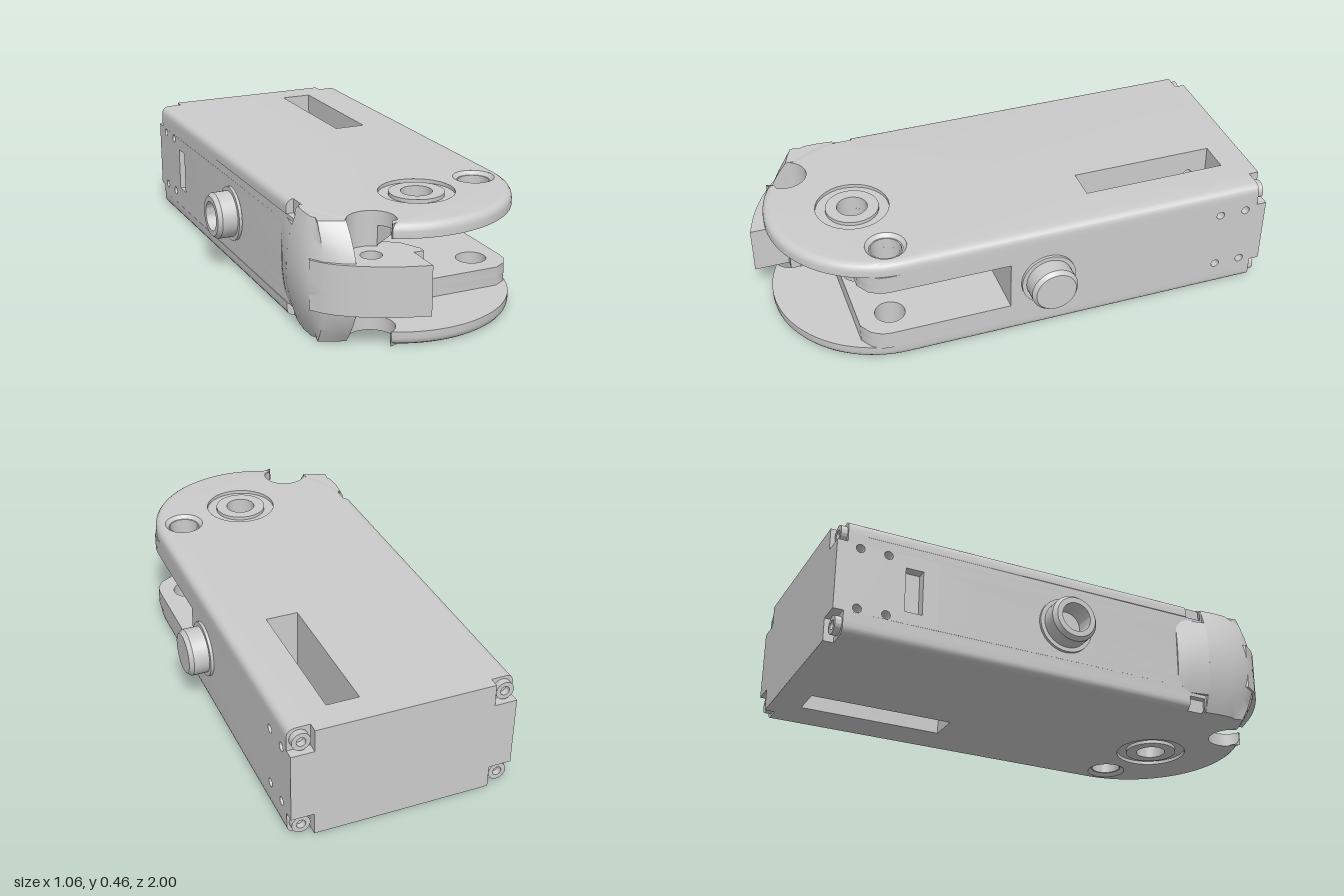
import * as THREE from 'three';
import { toCreasedNormals, mergeGeometries } from 'three/addons/utils/BufferGeometryUtils.js';

const H = 0.463, R = 0.44, ARC_Z = 0.51, MID = H / 2;
const V = (x, y) => new THREE.Vector2(x, y);

// Points on an arc in plan (x, z), angles in degrees
function arc(cx, cz, r, from, to, n) {
  return Array.from({ length: n + 1 }, (_, i) => {
    const a = THREE.MathUtils.degToRad(from + (to - from) * i / n);
    return V(cx + r * Math.cos(a), cz + r * Math.sin(a));
  });
}
const circle = (x, z, r) => new THREE.Path(arc(x, z, r, 0, 360, 32).slice(0, -1));
const rect = (x0, z0, x1, z1) => new THREE.Path([V(x0, z0), V(x1, z0), V(x1, z1), V(x0, z1)]);

function shapeOf(points, holes = []) {
  const s = new THREE.Shape(points);
  s.holes.push(...holes);
  return s;
}

// Plan shape raised from y0 to y1
function slab(points, y0, y1, holes) {
  const g = new THREE.ExtrudeGeometry(shapeOf(points, holes), { depth: y1 - y0, bevelEnabled: false });
  return toCreasedNormals(g.rotateX(Math.PI / 2).translate(0, y1, 0), 0.6);
}

// Turn every triangle round
function reverse(g) {
  g = g.index ? g.toNonIndexed() : g;
  for (const a of Object.values(g.attributes)) {
    for (let i = 0; i < a.count; i += 3) {
      for (let k = 0; k < a.itemSize; k++) {
        const t = a.getComponent(i + 1, k);
        a.setComponent(i + 1, k, a.getComponent(i + 2, k));
        a.setComponent(i + 2, k, t);
      }
    }
  }
  return g;
}
const mirrorY = (g) => reverse(g.clone().scale(1, -1, 1)).translate(0, H, 0);

// Plan outlines stacked at rising heights, closed with flat caps
function loft(levels, lowHoles = [], highHoles = []) {
  const pos = [], idx = [], n = levels[0].pts.length;
  levels.forEach(({ y, pts }) => pts.forEach((p) => pos.push(p.x, y, p.y)));
  for (let i = 0; i < levels.length - 1; i++) {
    for (let j = 0; j < n; j++) {
      const a = i * n + j, b = i * n + (j + 1) % n, c = b + n, d = a + n;
      idx.push(a, c, b, a, d, c);
    }
  }
  const wall = new THREE.BufferGeometry();
  wall.setAttribute('position', new THREE.Float32BufferAttribute(pos, 3));
  wall.setIndex(idx);
  const cap = (l, holes) => {
    const g = new THREE.ShapeGeometry(shapeOf(l.pts, holes)).rotateX(Math.PI / 2).translate(0, l.y, 0).toNonIndexed();
    g.deleteAttribute('uv');
    g.deleteAttribute('normal');
    return g;
  };
  const top = levels[levels.length - 1];
  return toCreasedNormals(mergeGeometries([wall.toNonIndexed(), cap(levels[0], lowHoles), reverse(cap(top, highHoles))]), 0.6);
}

// Plan edges shared by the layers
const pinNotch = (from) => arc(-0.25, 0.82, 0.09, from, -160, 18);
const leftArc = (r) => arc(0, ARC_Z, r, 142, 172, 10);
const cornered = (e) => [V(-e, -0.96), V(-0.35, -0.96), V(-0.35, -1), V(0.35, -1), V(0.35, -0.96), V(e, -0.96)];

function plateOutline(inset) {
  const r = R - inset;
  return [...cornered(r), ...arc(0, ARC_Z, r, 0, 118.5, 36), ...pinNotch(63), ...leftArc(r),
    V(-0.41, 0.58), V(-0.41, 0.5), V(-r, 0.5)];
}
const stepFront = () => [V(R, 0.57), V(0.435, 0.61), V(0.41, 0.65), V(0.36, 0.68), V(-0.1, 0.68),
  ...pinNotch(-50), ...leftArc(R)];
const slottedBack = [V(-R, -0.6), V(0.13, -0.6), V(0.13, -0.29), V(0.26, -0.29), V(0.26, -0.6), V(R, -0.6)];

export function createModel() {
  const model = new THREE.Group();
  const material = new THREE.MeshStandardMaterial({ color: 0xcccccc, side: THREE.DoubleSide });
  const add = (name, g) => {
    const m = new THREE.Mesh(g, material);
    m.name = name;
    model.add(m);
    return m;
  };
  const addPair = (name, g) => {
    add(name + 'Bottom', g);
    add(name + 'Top', mirrorY(g));
  };
  const lathe = (pts) => toCreasedNormals(new THREE.LatheGeometry(pts.map(([r, y]) => V(r, y)), 40), 0.5);

  // Cover plates with rounded outer edges
  const slot = rect(0.13, -0.88, 0.26, -0.29);
  const levels = [0, 22.5, 45, 67.5, 90].map((deg) => {
    const a = THREE.MathUtils.degToRad(deg);
    return { y: 0.03 * (1 - Math.cos(a)), pts: plateOutline(0.03 * (1 - Math.sin(a))) };
  });
  levels.push({ y: 0.055, pts: plateOutline(0) });
  addPair('coverPlate', loft(levels,
    [slot, circle(0.04, 0.61, 0.145), circle(0.32, 0.55, 0.08)],
    [slot, circle(0.04, 0.61, 0.06), circle(0.32, 0.55, 0.06)]));
  addPair('slotRim', slab([V(0.13, -0.88), V(0.26, -0.88), V(0.26, -0.29), V(0.13, -0.29)], 0, 0.055,
    [rect(0.131, -0.879, 0.259, -0.291)]));

  // Bearing ring and countersunk hole in each plate
  addPair('bearingRing', lathe([[0.145, 0], [0.145, 0.014], [0.105, 0.014], [0.105, 0], [0.06, 0], [0.06, 0.055]])
    .translate(0.04, 0, 0.61));
  addPair('countersunkHole', lathe([[0.08, 0], [0.065, 0.014], [0.06, 0.014], [0.06, 0.055]]).translate(0.32, 0, 0.55));

  // Thick inner steps behind the front opening
  const bores = [circle(0.04, 0.61, 0.06), circle(0.32, 0.55, 0.06)];
  addPair('innerStep', slab([...cornered(R), ...stepFront()], 0.055, 0.09, [slot, ...bores]));
  addPair('innerJaw', slab([...slottedBack, ...stepFront()], 0.09, 0.13, bores));

  // Core with the side pocket left open
  add('core', slab([...slottedBack, V(R, 0.09), V(-0.16, 0.09), V(-0.16, 0.7), ...pinNotch(-50), ...leftArc(R)],
    0.13, H - 0.13));

  // Rear block, cross-drilled, with a window on one side
  const rearPieces = [[-R, -0.4, 0.6, true], [-0.4, 0.13, 0.6], [0.13, 0.26, 0.88], [0.26, R, 0.6]];
  for (const [x0, x1, front, window] of rearPieces) {
    const holes = [];
    for (const y of [0.1085, H - 0.1085]) {
      for (const z of [0.8, 0.91]) if (z > front + 0.02) holes.push(circle(z, y, 0.017));
    }
    if (window) holes.push(rect(0.66, 0.14, 0.73, 0.32));
    const s = shapeOf([V(front, 0.09), V(1, 0.09), V(1, H - 0.09), V(front, H - 0.09)], holes);
    const g = new THREE.ExtrudeGeometry(s, { depth: x1 - x0, bevelEnabled: false });
    add('rearBlock', toCreasedNormals(g.rotateY(Math.PI / 2).translate(x0, 0, 0), 0.6));
  }

  // Screw bushes in the rear corner notches
  for (const x of [-0.395, 0.395]) {
    addPair('cornerBush', lathe([[0.018, 0], [0.018, 0.03], [0.036, 0.03], [0.036, 0]])
      .rotateX(-Math.PI / 2).translate(x, 0.046, -0.955));
  }

  // Domed cheek on the front corner
  const bulge = (y) => 0.05 * ((y - MID) / MID) ** 2;
  const cheek = (y0, y1, outline) => loft(Array.from({ length: 17 }, (_, i) => {
    const y = y0 + (y1 - y0) * i / 16;
    return { y, pts: outline(bulge(y)) };
  }));
  add('frontCheek', cheek(0.002, H - 0.002, (d) => [V(-0.38, 0.58), V(-0.335, 0.7), V(-0.335, 0.893 - 2 * d),
    V(-0.38, 0.868 - 1.8 * d), V(-0.43, 0.825 - 1.4 * d), V(-0.47 + d, 0.77 - d), V(-0.48 + d, 0.7),
    V(-0.481 + d, 0.64), V(-0.475 + d, 0.58)]));
  add('rearCheek', cheek(0.07, H - 0.07, (d) => [V(-0.4, 0.45), V(-0.4, 0.58), V(-0.475 + d, 0.58),
    V(-0.462 + d, 0.51), V(-0.442 + d / 2, 0.45)]));

  // Latch tongue with its pivot hole
  const nose = new THREE.CatmullRomCurve3([[-0.1, 1], [-0.22, 0.96], [-0.34, 0.897], [-0.42, 0.835], [-0.468, 0.77]]
    .map(([x, z]) => new THREE.Vector3(x, z, 0))).getPoints(16).map((p) => V(p.x, p.y));
  add('latchTongue', slab([V(-0.2, 0.68), V(-0.1, 0.75), V(-0.06, 0.83), V(-0.06, 0.86), V(-0.1, 0.86), ...nose,
    V(-0.4, 0.65)], 0.137, 0.328, [circle(-0.25, 0.82, 0.04)]));

  // Side pins: solid on one side, hollow on the other
  const stem = [[0.112, 0], [0.112, 0.012], [0.095, 0.012], [0.095, 0.075]];
  const pin = (name, pts, side) => add(name, lathe(pts).rotateZ(-side * Math.PI / 2).translate(side * R, MID, -0.065));
  pin('solidPin', [...stem, [0.082, 0.092], [0, 0.092]], 1);
  pin('hollowPin', [...stem, [0.082, 0.092], [0.06, 0.092], [0.06, 0.005], [0, 0.005]], -1);
  return model;
}
